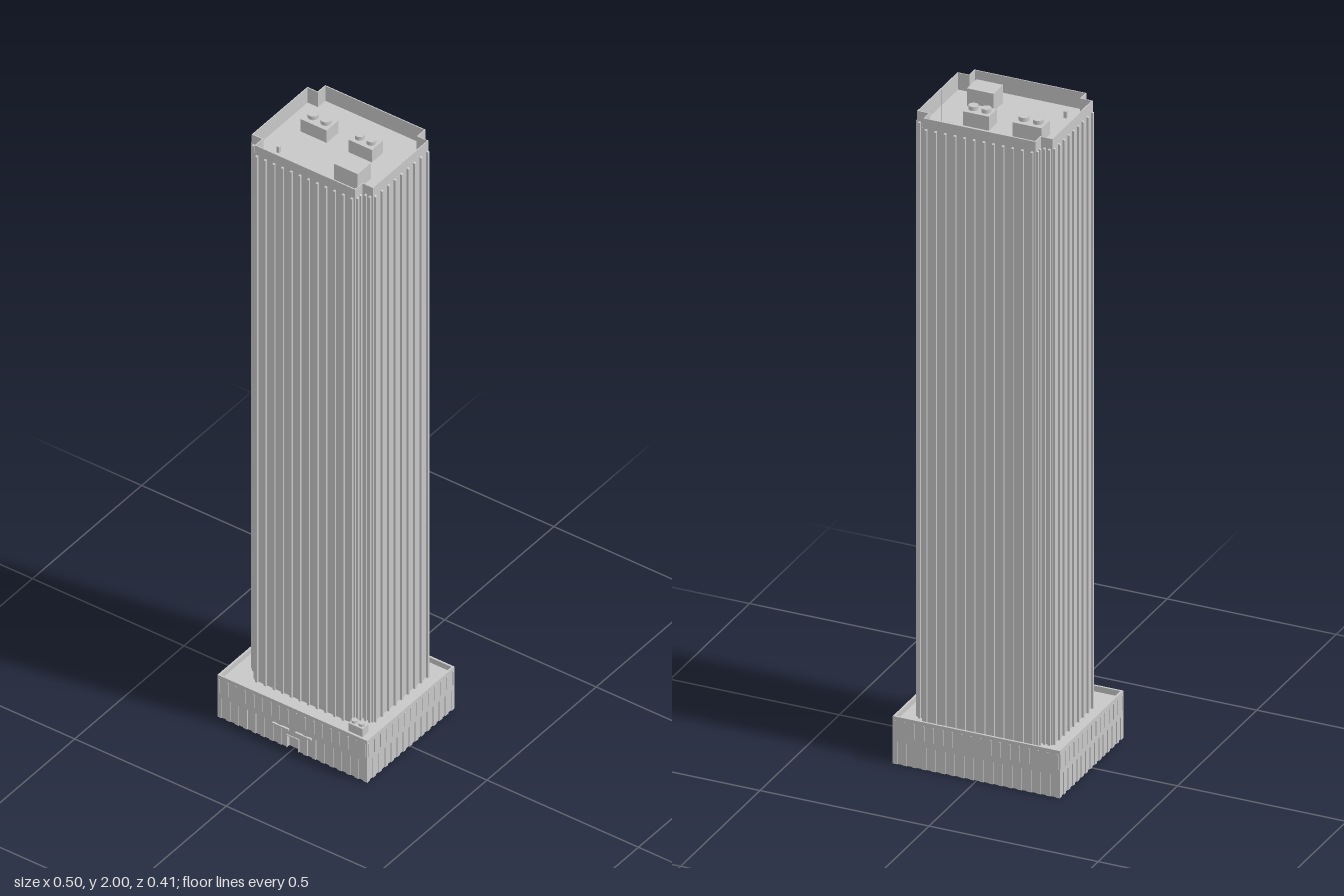
import * as THREE from 'three';

const concrete = new THREE.MeshStandardMaterial({ color: 0xc8c8c8 });
concrete.name = 'light concrete grey';

export function createModel() {
  const model = new THREE.Group();
  model.name = 'officeTower';

  const add = (parent, name, geo, x = 0, y = 0, z = 0) => {
    const mesh = new THREE.Mesh(geo, concrete);
    mesh.name = name;
    mesh.position.set(x, y, z);
    parent.add(mesh);
    return mesh;
  };
  // box given by its ranges
  const block = (parent, name, x0, x1, y0, y1, z0, z1) =>
    add(parent, name, new THREE.BoxGeometry(x1 - x0, y1 - y0, z1 - z0),
      (x0 + x1) / 2, (y0 + y1) / 2, (z0 + z1) / 2);
  const group = (parent, name, z = 0) => {
    const g = new THREE.Group();
    g.name = name;
    g.position.z = z;
    parent.add(g);
    return g;
  };
  const toShape = (a) => new THREE.Shape(a.map(([x, y]) => new THREE.Vector2(x, y)));
  const extrude = (shape, depth) => new THREE.ExtrudeGeometry(shape, { depth, bevelEnabled: false });
  // upright prism from a plan outline, optionally hollow
  const prism = (outline, hole, height) => {
    const shape = toShape(outline);
    if (hole) shape.holes.push(toShape(hole));
    return extrude(shape, height).rotateX(-Math.PI / 2);
  };
  // side profile (outward, up) extruded to a fin of the given width
  const finGeometry = (profile, width) => extrude(toShape(profile), width).translate(0, 0, -width / 2);
  const facing = { px: 0, nx: Math.PI, pz: -Math.PI / 2, nz: Math.PI / 2 };
  const fin = (parent, name, geo, x, z, dir) => {
    add(parent, name, geo, x, 0, z).rotation.y = facing[dir];
  };
  const spread = (count, half) =>
    Array.from({ length: count }, (_, i) => -half + (2 * half * i) / (count - 1));

  // podium: hollow, open underneath, sunken roof, lower storey set back behind piers
  const rect = (w, d) => [[-w, -d], [w, -d], [w, d], [-w, d]];
  const W = 0.247, D = 0.2, w = W - 0.003, d = D - 0.003, t = 0.003, beltY = 0.068;
  const podium = group(model, 'podium', -0.0025);
  add(podium, 'upperWalls', prism(rect(W, D), rect(W - 0.006, D - 0.006), 0.142 - beltY), 0, beltY, 0);
  block(podium, 'podiumRoof', -W + 0.002, W - 0.002, 0.12, 0.125, -D + 0.002, D - 0.002);
  block(podium, 'lowerBackWall', -w, w, 0, beltY, -d, -d + t);
  for (const s of [-1, 1]) {
    block(podium, 'lowerSideWall', s * (w - t / 2) - t / 2, s * (w - t / 2) + t / 2, 0, beltY, -d, d);
  }
  // front wall with the entrance opening and a recessed door
  add(podium, 'lowerFrontWall', extrude(toShape([[-w, 0], [-0.018, 0], [-0.018, 0.04], [0.018, 0.04],
    [0.018, 0], [w, 0], [w, beltY], [-w, beltY]]), t), 0, 0, d - t);
  block(podium, 'door', -0.02, 0.02, 0, 0.042, d - 0.012, d - 0.009);
  for (const s of [-1, 1]) {
    block(podium, 'doorJamb', s * 0.0195 - 0.0015, s * 0.0195 + 0.0015, 0, 0.043, d - 0.012, D);
    block(podium, 'entranceStrip', s * 0.038 - 0.027, s * 0.038 + 0.027, 0.061, 0.066, d, D + 0.004);
  }
  block(podium, 'doorLintel', -0.021, 0.021, 0.04, 0.043, d - 0.012, D);

  // piers below, slim fins above
  const pier = finGeometry([[0, 0], [0.003, 0], [0.003, beltY], [0, beltY]], 0.013);
  const upperFin = finGeometry([[0, 0.085], [0.002, 0.085], [0.002, 0.13], [0, 0.13]], 0.004);
  const facade = (name, geo, halfW, halfD, nx, nz, doorGap) => {
    for (const x of spread(nx, W - 0.0065)) {
      if (Math.abs(x) > doorGap) fin(podium, name, geo, x, halfD, 'pz');
      fin(podium, name, geo, x, -halfD, 'nz');
    }
    for (const z of spread(nz, D - 0.0065)) {
      fin(podium, name, geo, halfW, z, 'px');
      fin(podium, name, geo, -halfW, z, 'nx');
    }
  };
  facade('podiumPier', pier, w, d, 18, 15, 0.025);
  facade('podiumFin', upperFin, W, D, 18, 15, 0);

  // tower shaft with notched corners
  const plan = (inset) => {
    const x1 = 0.2 - inset, x0 = 0.166 - inset, z1 = 0.1615 - inset, z0 = 0.1275 - inset;
    return [[-x0, -z1], [x0, -z1], [x0, -z0], [x1, -z0], [x1, z0], [x0, z0],
      [x0, z1], [-x0, z1], [-x0, z0], [-x1, z0], [-x1, -z0], [-x0, -z0]];
  };
  const roofY = 1.89;
  const tower = group(model, 'tower', -0.0215);
  add(tower, 'towerShaft', prism(plan(0), null, roofY - 0.122), 0, 0.122, 0);
  add(tower, 'towerParapet', prism(plan(0), plan(0.003), 1.94 - roofY), 0, roofY, 0);

  // full-height ribs ending below the parapet edge
  const rib = finGeometry([[0, 0.122], [0.006, 0.122], [0.006, 1.908], [0, 1.91]], 0.0065);
  for (const s of [-1, 1]) {
    const xDir = s > 0 ? 'px' : 'nx', zDir = s > 0 ? 'pz' : 'nz';
    for (const x of spread(12, 0.157)) fin(tower, 'rib', rib, x, s * 0.1615, zDir);
    for (const z of spread(9, 0.1195)) fin(tower, 'rib', rib, s * 0.2, z, xDir);
    for (const u of [-1, 1]) {
      for (const x of [0.178, 0.192]) fin(tower, 'cornerRib', rib, u * x, s * 0.1275, zDir);
      for (const z of [0.139, 0.154]) fin(tower, 'cornerRib', rib, s * 0.166, u * z, xDir);
    }
  }

  // roof plant: cooling units with round fan housings
  const coolingUnit = (x0, x1, z0, z1, y, h, fanXs, r, fanH) => {
    const unit = group(model, 'coolingUnit');
    block(unit, 'unitCasing', x0, x1, y, y + h, z0, z1);
    for (const x of fanXs) {
      add(unit, 'fanHousing', new THREE.CylinderGeometry(r, r, fanH, 24), x, y + h + fanH / 2, (z0 + z1) / 2);
    }
  };
  coolingUnit(-0.139, -0.053, -0.088, -0.033, roofY, 0.042, [-0.117, -0.075], 0.015, 0.012);
  coolingUnit(0.018, 0.095, -0.085, -0.035, roofY, 0.042, [0.037, 0.075], 0.0135, 0.012);
  coolingUnit(0.167, 0.214, 0.146, 0.173, 0.125, 0.027, [0.178, 0.202], 0.0085, 0.008);
  block(model, 'stairHousing', 0.055, 0.134, roofY, 1.943, 0.024, 0.084);
  block(model, 'roofHatch', -0.139, -0.13, roofY, 1.91, 0.069, 0.078);

  // hair-thin mast
  add(model, 'mast', new THREE.CylinderGeometry(0.0002, 0.0002, 2 - roofY, 6), 0.143, (2 + roofY) / 2, -0.118);

  return model;
}
